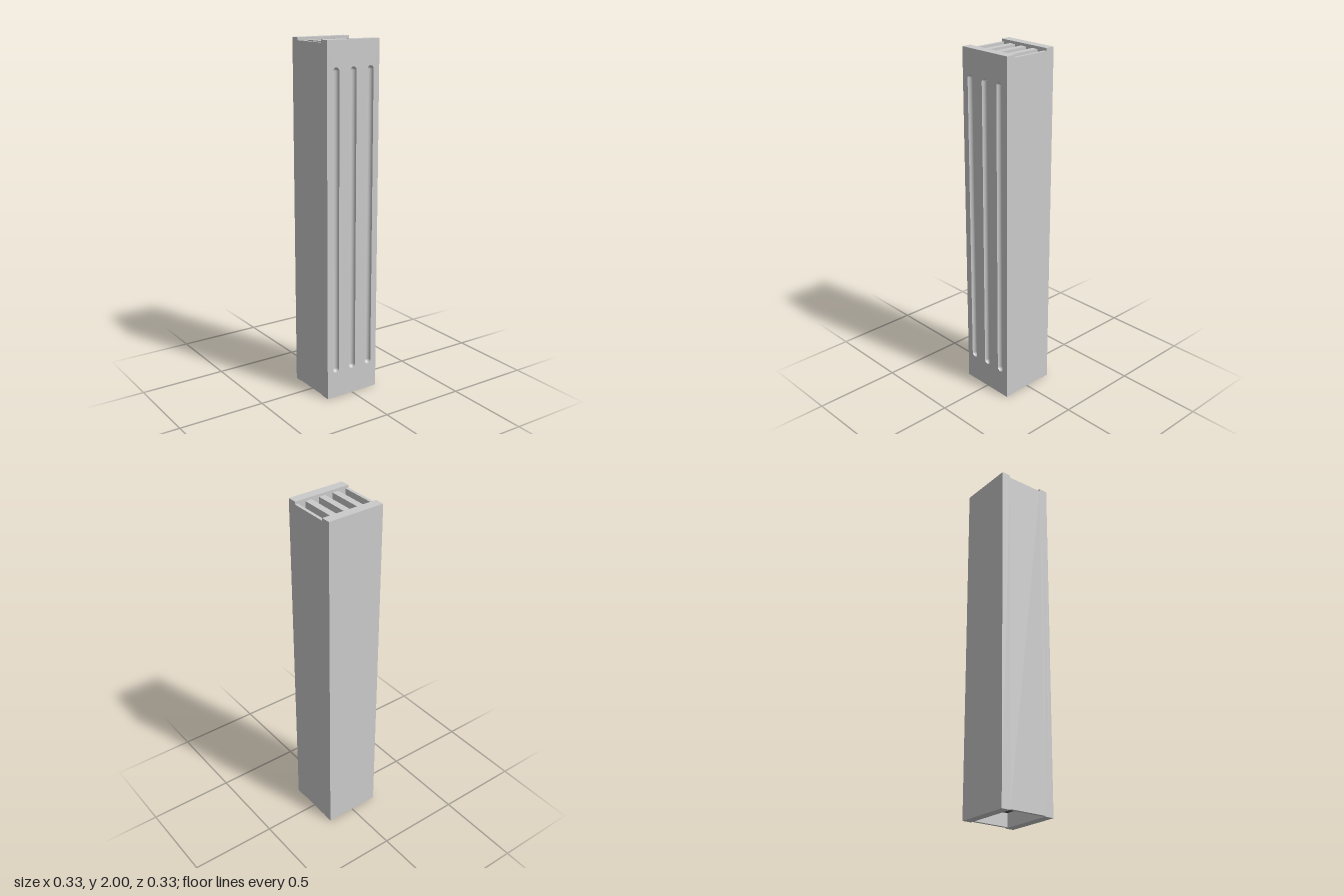
import * as THREE from 'three';

export function createModel() {
  const group = new THREE.Group();
  group.name = 'ventColumn';
  const grey = new THREE.MeshStandardMaterial({ color: 0xcccccc });
  const greyDouble = new THREE.MeshStandardMaterial({ color: 0xcccccc, side: THREE.DoubleSide });
  const dark = new THREE.MeshStandardMaterial({ color: 0x4d5256 });

  const half = 0.167, inner = 0.113, wall = 0.018, height = 2;
  const barTop = 1.985, coreLow = 0.08, coreHigh = 1.93;

  function add(name, geometry, material = grey) {
    const mesh = new THREE.Mesh(geometry, material);
    mesh.name = name;
    group.add(mesh);
    return mesh;
  }
  // Box given by its lower and upper corners
  function box(name, x0, x1, y0, y1, z0, z1, material) {
    add(name, new THREE.BoxGeometry(x1 - x0, y1 - y0, z1 - z0), material)
      .position.set((x0 + x1) / 2, (y0 + y1) / 2, (z0 + z1) / 2);
  }

  // Thick back wall, and the solid part behind the fluted front
  const r = 0.02, skin = 0.022;
  box('backWall', -half, half, 0, height, -half, -inner);
  box('frontWall', -half, half, 0, height, inner, half - skin);

  // Front panel with three round-ended openings
  const low = 0.17, high = 1.84, fluteXs = [-0.11, 0, 0.11];
  const panel = new THREE.Shape();
  panel.moveTo(-half, 0).lineTo(half, 0).lineTo(half, height).lineTo(-half, height).closePath();
  for (const x of fluteXs) {
    const hole = new THREE.Path();
    hole.absarc(x, high, r, 0, Math.PI, false);
    hole.absarc(x, low, r, Math.PI, 2 * Math.PI, false);
    hole.closePath();
    panel.holes.push(hole);
  }
  add('frontPanel', new THREE.ExtrudeGeometry(panel, { depth: skin, bevelEnabled: false, curveSegments: 12 }))
    .position.z = half - skin;

  // Hollow half-round flutes with spherical ends
  const profile = [];
  for (let i = 0; i <= 8; i++) {
    const a = -Math.PI / 2 + (i / 8) * (Math.PI / 2);
    profile.push(new THREE.Vector2(r * Math.cos(a), low + r * Math.sin(a)));
  }
  for (let i = 0; i <= 8; i++) {
    const a = (i / 8) * (Math.PI / 2);
    profile.push(new THREE.Vector2(r * Math.cos(a), high + r * Math.sin(a)));
  }
  const fluteGeometry = new THREE.LatheGeometry(profile, 16, Math.PI / 2, Math.PI);
  for (const x of fluteXs) add('flute', fluteGeometry, greyDouble).position.set(x, 0, half);

  // Thin side walls, a little lower than the front and back rims
  for (const s of [-1, 1]) {
    const x = s * (half - wall / 2);
    box('sideWall', x - wall / 2, x + wall / 2, 0.004, barTop, -inner, inner);
  }

  // Grille bars across the top
  for (const x of [-0.084, 0, 0.084]) {
    box('grilleBar', x - 0.019, x + 0.019, coreHigh, barTop, -inner, inner);
  }

  // Dark core seen between the bars and in the recess underneath
  box('core', wall - half, half - wall, coreLow, coreHigh, -inner, inner, dark);

  return group;
}
